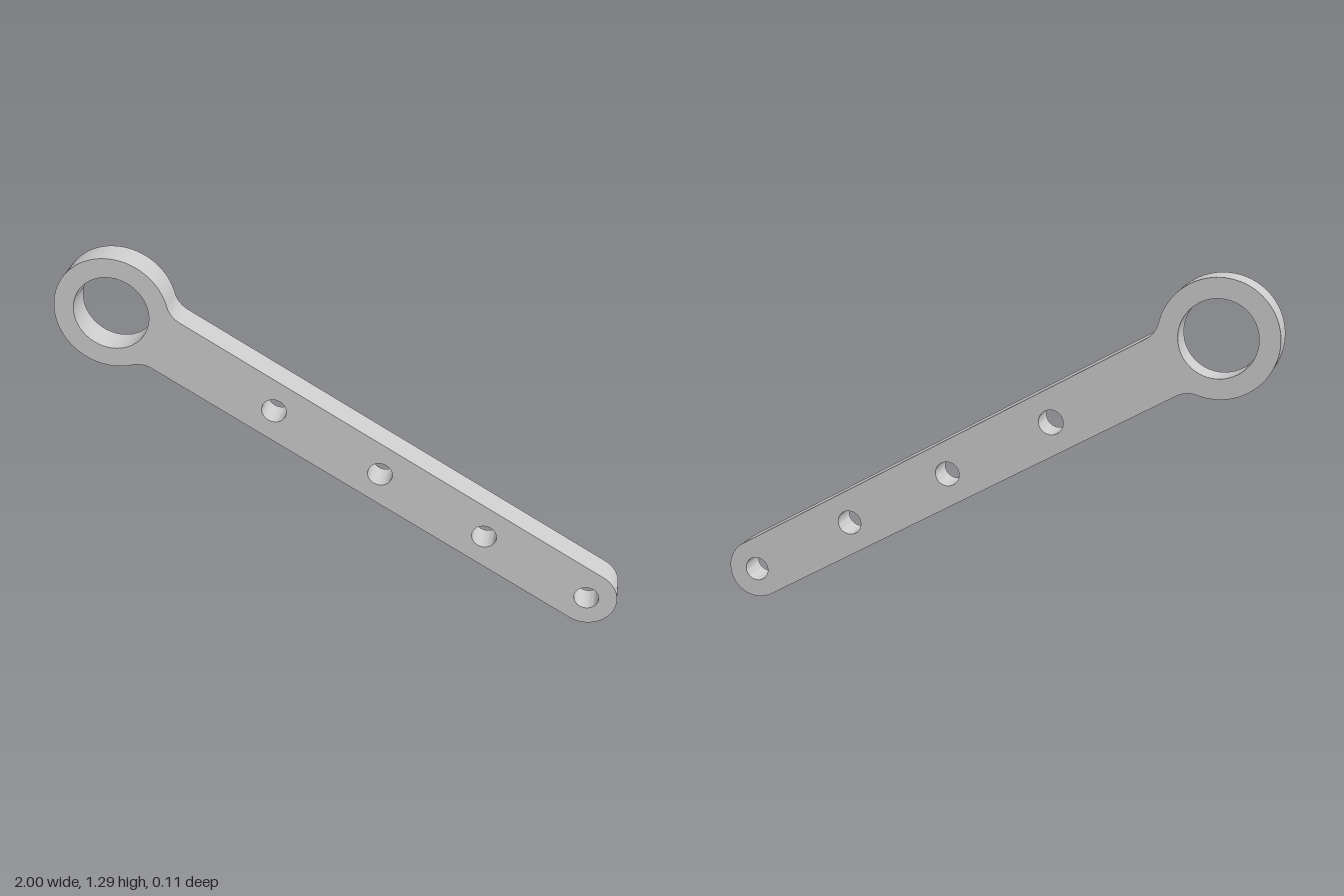
import * as THREE from 'three';
import { toCreasedNormals } from 'three/addons/utils/BufferGeometryUtils.js';

const RING_R = 0.204, BORE_R = 0.134;   // eye of the arm
const HALF = 0.108;                     // half width of the bar and radius of its tip
const FILLET = 0.09;                    // blend between ring and bar
const LENGTH = 1.95, PITCH = 0.433, HOLE_R = 0.044;
const DEPTH = 0.108;

function hole(x, r) {
  const path = new THREE.Path();
  path.absarc(x, 0, r, 0, Math.PI * 2, true);
  return path;
}

// Outline drawn along +x with the ring centred on the origin
function armShape() {
  const cy = HALF + FILLET;
  const cx = Math.sqrt((RING_R + FILLET) ** 2 - cy ** 2);
  const a = Math.atan2(cy, cx);
  const shape = new THREE.Shape();
  shape.absarc(0, 0, RING_R, a, Math.PI * 2 - a, false);
  shape.absarc(cx, -cy, FILLET, Math.PI - a, Math.PI / 2, true);
  shape.absarc(LENGTH, 0, HALF, -Math.PI / 2, Math.PI / 2, false);
  shape.absarc(cx, cy, FILLET, -Math.PI / 2, -Math.PI + a, true);

  // Large bore and four evenly spaced small holes
  shape.holes.push(hole(0, BORE_R));
  for (let i = 0; i < 4; i++) shape.holes.push(hole(LENGTH - i * PITCH, HOLE_R));
  return shape;
}

export function createModel() {
  const group = new THREE.Group();
  group.name = 'leverArm';

  const extruded = new THREE.ExtrudeGeometry(armShape(), {
    depth: DEPTH, bevelEnabled: false, curveSegments: 32,
  });
  extruded.translate(0, 0, -DEPTH / 2);

  const arm = new THREE.Mesh(
    toCreasedNormals(extruded, Math.PI / 6),
    new THREE.MeshStandardMaterial({ color: 0xcccccc }),
  );
  arm.name = 'arm';

  // Slope the arm down toward its rounded tip
  arm.rotation.z = -Math.PI / 6;
  arm.position.set(-0.796, HALF + LENGTH / 2, 0);
  group.add(arm);
  return group;
}
